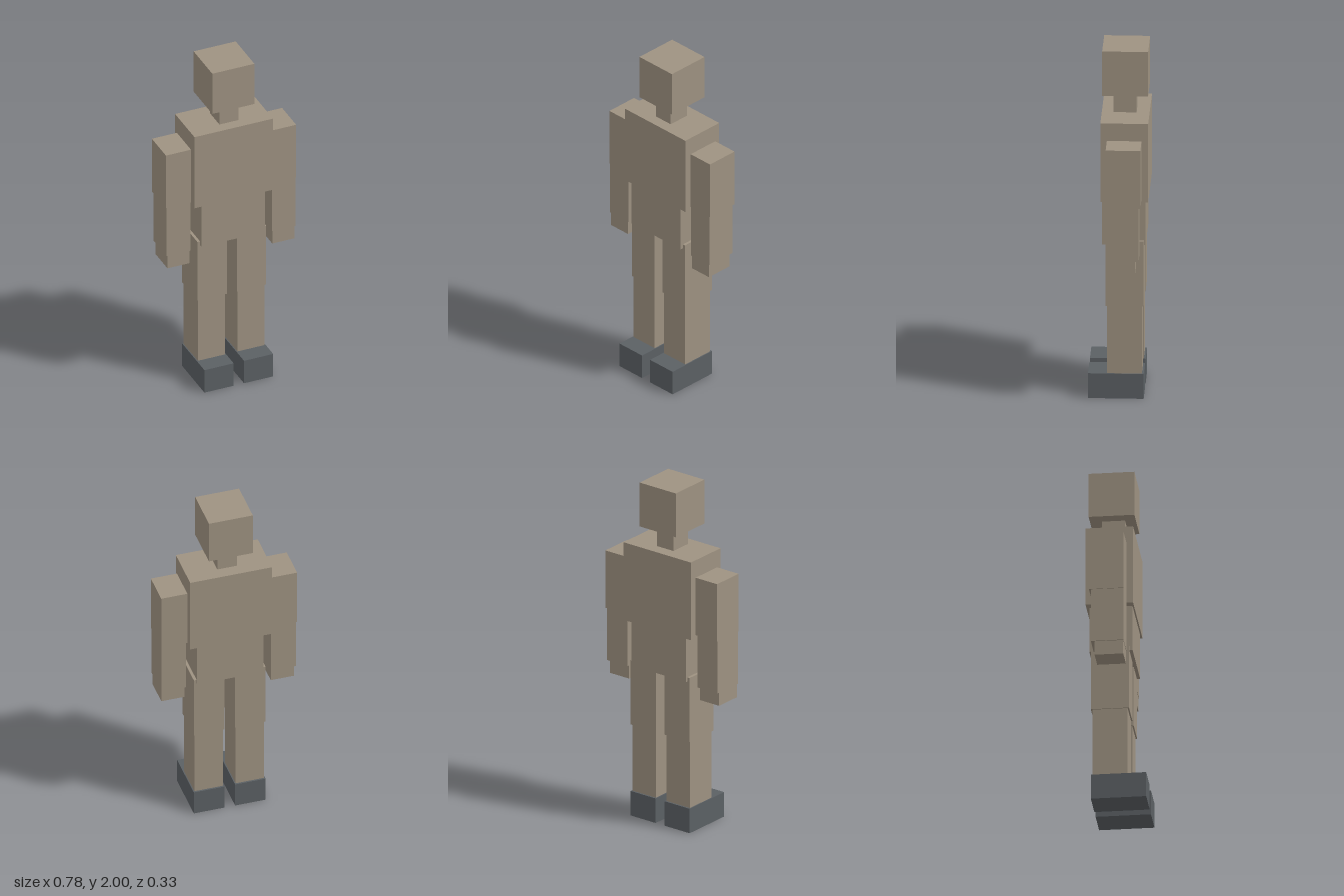
import * as THREE from 'three';

export function createModel() {
  const model = new THREE.Group();
  model.name = 'blockFigure';

  const clay = new THREE.MeshStandardMaterial({ color: 0x9e9281 });
  clay.name = 'clay';
  const slate = new THREE.MeshStandardMaterial({ color: 0x5b6064 });
  slate.name = 'slate';

  // Box given by its extents on each axis
  function block(name, [x0, x1], [y0, y1], [z0, z1], material = clay) {
    const mesh = new THREE.Mesh(new THREE.BoxGeometry(x1 - x0, y1 - y0, z1 - z0), material);
    mesh.position.set((x0 + x1) / 2, (y0 + y1) / 2, (z0 + z1) / 2);
    mesh.name = name;
    model.add(mesh);
  }

  // Head and trunk
  block('head', [-0.126, 0.126], [1.74, 2], [-0.161, 0.091]);
  block('neck', [-0.057, 0.057], [1.62, 1.74], [-0.095, 0.032]);
  block('chest', [-0.235, 0.235], [1.16, 1.62], [-0.166, 0.096]);
  block('abdomen', [-0.19, 0.19], [0.895, 1.16], [-0.15, 0.088]);

  // Limbs, mirrored left and right
  for (const [side, s] of [['left', 1], ['right', -1]]) {
    const limb = (name, inner, outer, y, z, material) =>
      block(side + name, s > 0 ? [inner, outer] : [-outer, -inner], y, z, material);

    limb('UpperArm', 0.24, 0.39, [1.18, 1.52], [-0.13, 0.06]);
    limb('Forearm', 0.244, 0.386, [0.868, 1.18], [-0.12, 0.06]);
    limb('Hand', 0.248, 0.38, [0.787, 0.868], [-0.1, 0.058]);
    limb('Thigh', 0.03, 0.206, [0.54, 0.92], [-0.14, 0.07]);
    limb('Shin', 0.037, 0.2, [0.145, 0.54], [-0.13, 0.062]);
    limb('Foot', 0.031, 0.206, [0, 0.145], [-0.14, 0.165], slate);
  }

  return model;
}
